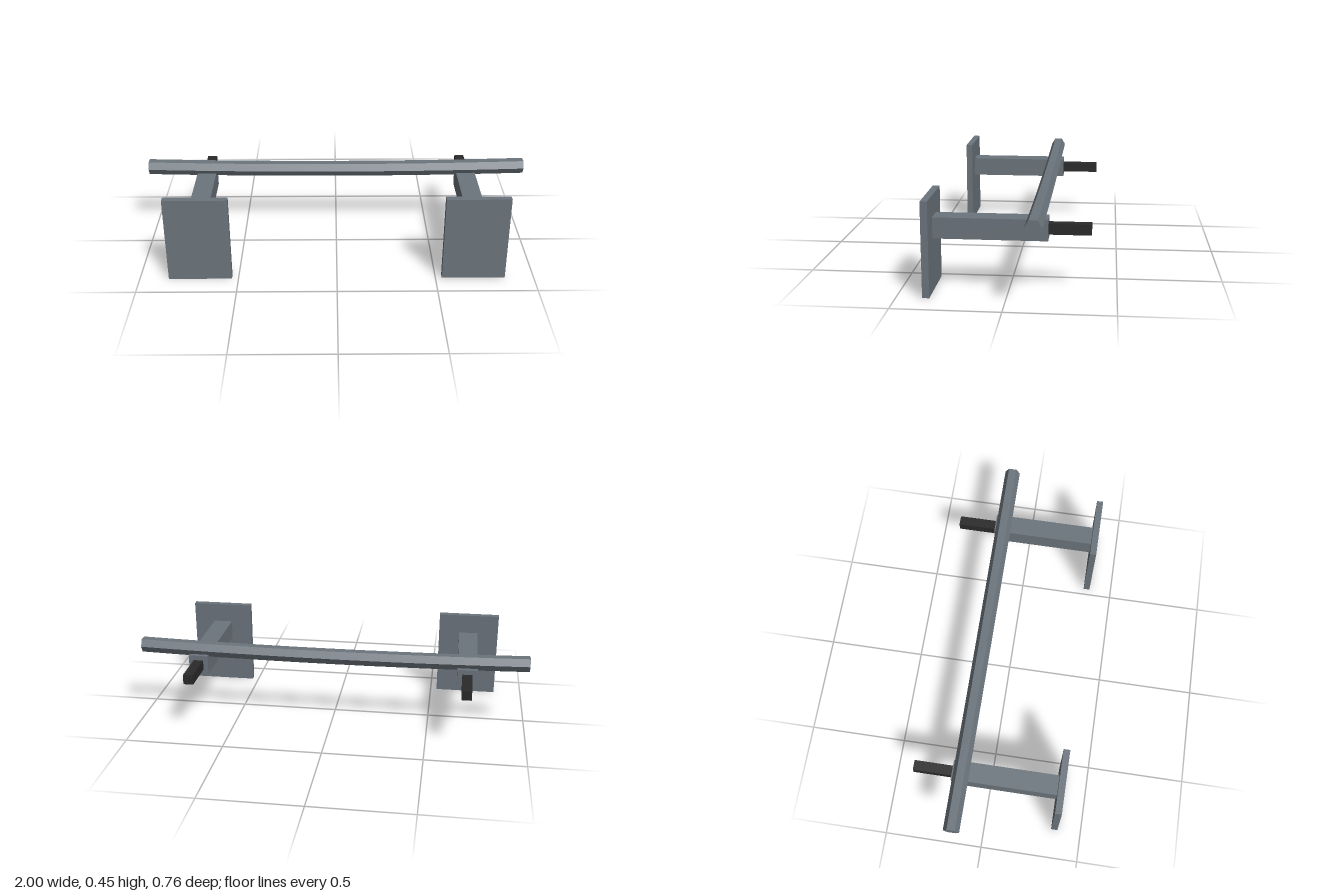
import * as THREE from 'three';

export function createModel() {
  const group = new THREE.Group();
  const steel = new THREE.MeshStandardMaterial({ color: 0x6c757d, flatShading: true });
  steel.name = 'steel grey';
  const black = new THREE.MeshStandardMaterial({ color: 0x2a2a2a, flatShading: true });
  black.name = 'black';

  // Box given by its extents along y and z, centred on x
  const box = (name, width, y0, y1, z0, z1, material) => {
    const mesh = new THREE.Mesh(new THREE.BoxGeometry(width, y1 - y0, z1 - z0), material);
    mesh.position.set(0, (y0 + y1) / 2, (z0 + z1) / 2);
    mesh.name = name;
    return mesh;
  };

  // Two mirrored brackets: front plate, square arm and rear prong
  for (const side of [1, -1]) {
    const bracket = new THREE.Group();
    bracket.name = side > 0 ? 'leftBracket' : 'rightBracket';
    bracket.add(
      box('plate', 0.32, 0, 0.45, 0.347, 0.38, steel),
      box('arm', 0.1, 0.25, 0.35, -0.183, 0.347, steel),
      box('prong', 0.05, 0.275, 0.325, -0.38, -0.183, black)
    );
    bracket.position.x = side * 0.693;
    group.add(bracket);
  }

  // Hexagonal crossbar, sagging slightly towards the middle
  const geometry = new THREE.CylinderGeometry(0.04, 0.04, 2, 6, 12).rotateZ(Math.PI / 2);
  const p = geometry.attributes.position;
  for (let i = 0; i < p.count; i++) {
    p.setY(i, p.getY(i) + 0.014 * p.getX(i) ** 2);
  }
  geometry.computeVertexNormals();
  const bar = new THREE.Mesh(geometry, steel);
  bar.name = 'crossbar';
  bar.position.set(0, 0.367, -0.135);
  group.add(bar);

  return group;
}
